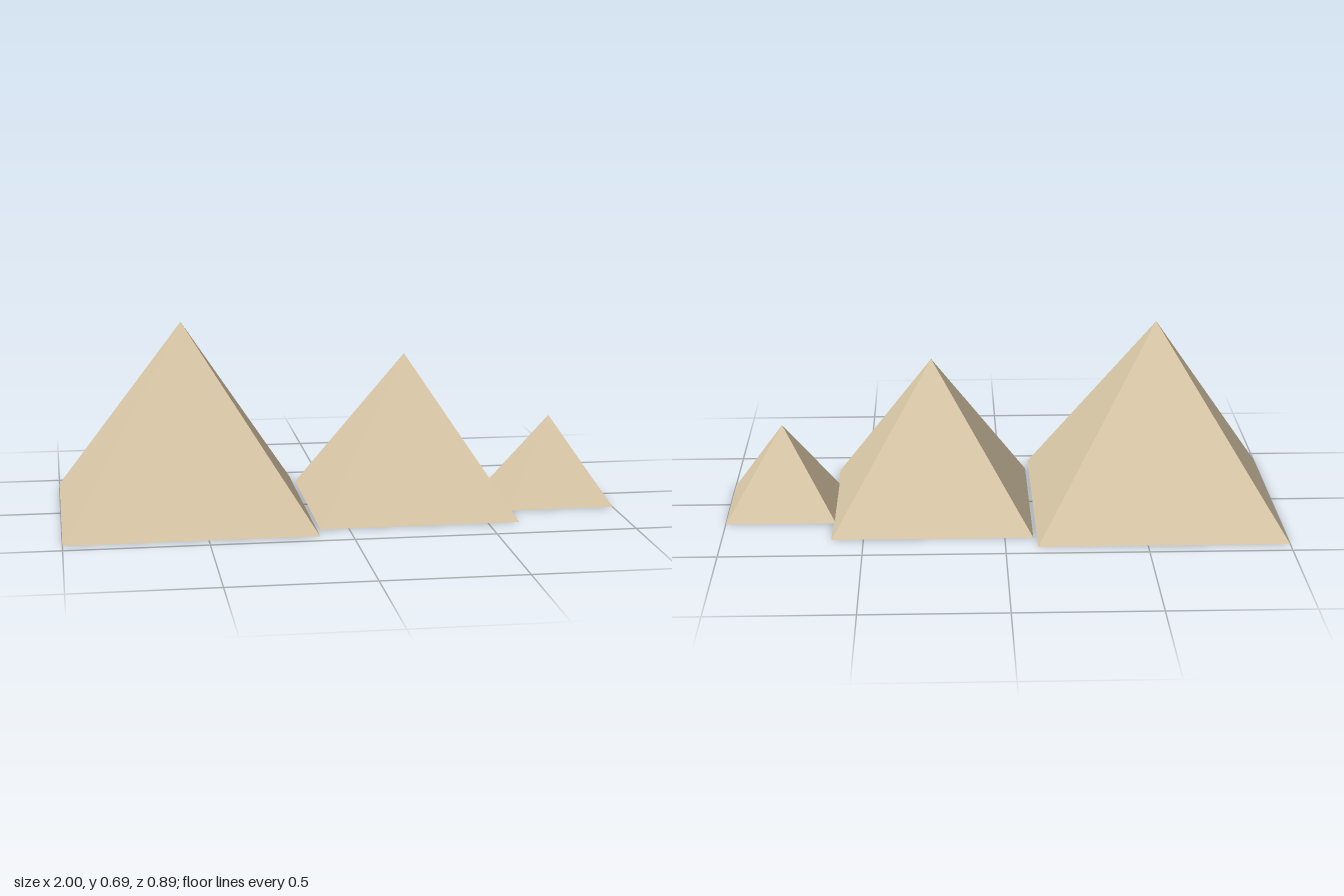
import * as THREE from 'three';

export function createModel() {
  const group = new THREE.Group();
  const sandstone = new THREE.MeshStandardMaterial({ color: 0xdccaa9 });
  sandstone.name = 'sandstone';
  sandstone.flatShading = true;

  // Square pyramid with its base on the ground and sides along x and z
  const addPyramid = (name, x, half, height) => {
    const geometry = new THREE.ConeGeometry(half * Math.SQRT2, height, 4);
    geometry.rotateY(Math.PI / 4);
    geometry.translate(0, height / 2, 0);
    const mesh = new THREE.Mesh(geometry, sandstone);
    mesh.name = name;
    mesh.position.x = x;
    group.add(mesh);
  };

  addPyramid('largePyramid', -0.557, 0.443, 0.691);
  addPyramid('mediumPyramid', 0.256, 0.357, 0.556);
  addPyramid('smallPyramid', 0.802, 0.198, 0.309);

  group.name = 'pyramids';
  return group;
}
